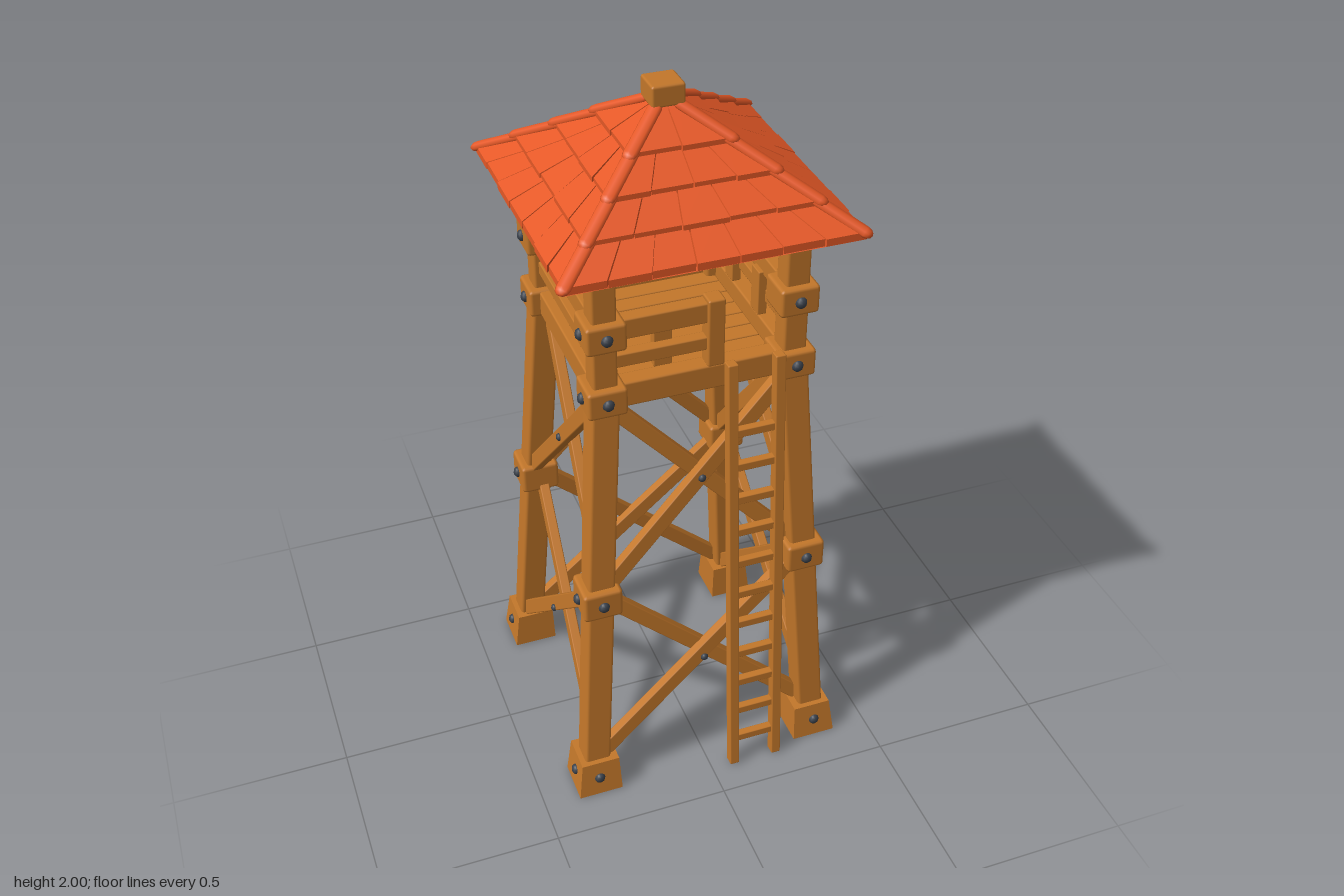
import * as THREE from 'three';
import { RoundedBoxGeometry } from 'three/addons/geometries/RoundedBoxGeometry.js';

function paint(name, color) {
  const material = new THREE.MeshStandardMaterial({ color });
  material.name = name;
  return material;
}
const wood = paint('wood', 0xc3772a);
const tile = paint('roof tile', 0xe55826);
const iron = paint('dark iron', 0x3b424c);
const darkWood = paint('dark ceiling wood', 0x74502c);

const V = (x, y, z) => new THREE.Vector3(x, y, z);
// distance of a leg's centre line from the tower axis at height y
const legAt = (y) => 0.335 - 0.064 * (y - 0.05);
// height of the roof surface at distance d from the axis
const roofAt = (d) => 1.7 + (0.39 - d) * 0.708;

function add(parent, name, geometry, material) {
  const mesh = new THREE.Mesh(geometry, material);
  mesh.name = name;
  parent.add(mesh);
  return mesh;
}

function block(parent, name, w, h, d, x, y, z, material = wood) {
  const bevel = Math.min(w, h, d) * 0.12;
  const mesh = add(parent, name, new RoundedBoxGeometry(w, h, d, 1, bevel), material);
  mesh.position.set(x, y, z);
  return mesh;
}

// turn a mesh so its y axis runs along dir and its x axis lies across hint
function align(mesh, dir, hint) {
  const x = dir.clone().cross(hint).normalize();
  mesh.quaternion.setFromRotationMatrix(new THREE.Matrix4().makeBasis(x, dir, x.clone().cross(dir)));
}

// square timber from a to b, its depth kept close to the z axis
function timber(parent, name, a, b, w, d) {
  const dir = b.clone().sub(a);
  const mid = a.clone().add(b).multiplyScalar(0.5);
  const mesh = block(parent, name, w, dir.length(), d, mid.x, mid.y, mid.z);
  align(mesh, dir.normalize(), V(0, 0, 1));
}

const boltShape = new THREE.SphereGeometry(0.016, 8, 6);
function bolt(parent, x, y, z, size = 1) {
  const mesh = add(parent, 'bolt', boltShape, iron);
  mesh.position.set(x, y, z);
  mesh.scale.set(size, size, size * 0.8);
}

// box whose corners are moved by a rule taking and returning a vector
function shapedBox(rule) {
  const g = new THREE.BoxGeometry(1, 1, 1);
  const p = g.attributes.position;
  for (let i = 0; i < p.count; i++) {
    const v = rule(V(p.getX(i), p.getY(i), p.getZ(i)));
    p.setXYZ(i, v.x, v.y, v.z);
  }
  g.computeVertexNormals();
  return g;
}

// corner column: foot, leaning leg, upright post and collars
function buildCorner(parent, sx, sz) {
  const corner = new THREE.Group();
  corner.name = 'cornerColumn';
  parent.add(corner);
  add(corner, 'foot', shapedBox((v) => {
    const half = v.y < 0 ? 0.064 : 0.055;
    const c = v.y < 0 ? 0.334 : 0.329;
    return V(sx * c + Math.sign(v.x) * half, (v.y + 0.5) * 0.11, sz * c + Math.sign(v.z) * half);
  }), wood);
  const a = legAt(0.05), b = legAt(1.28);
  timber(corner, 'leg', V(sx * a, 0.05, sz * a), V(sx * b, 1.28, sz * b), 0.076, 0.076);
  block(corner, 'post', 0.066, 0.49, 0.066, sx * 0.255, 1.49, sz * 0.255);
  const m = legAt(0.67);
  block(corner, 'middleCollar', 0.11, 0.09, 0.11, sx * m, 0.671, sz * m);
  block(corner, 'floorCollar', 0.106, 0.08, 0.106, sx * 0.255, 1.297, sz * 0.255);
  block(corner, 'railCollar', 0.106, 0.08, 0.106, sx * 0.255, 1.488, sz * 0.255);
}

// one side of the frame, facing +z
function buildSide(parent, isFront) {
  for (const [low, high, cross] of [[0.12, 0.645, 0.38], [0.71, 1.25, 0.995]]) {
    for (const s of [-1, 1]) {
      const off = s * 0.012;
      timber(parent, 'crossBrace',
        V(-s * (legAt(low) - 0.025), low, legAt(low) + off),
        V(s * (legAt(high) - 0.025), high, legAt(high) + off), 0.045, 0.028);
    }
    bolt(parent, 0, cross, legAt(cross) + 0.027, 0.7);
  }
  for (const s of [-1, 1]) {
    bolt(parent, s * 0.335, 0.056, 0.39);
    bolt(parent, s * legAt(0.67), 0.671, legAt(0.67) + 0.056);
    bolt(parent, s * 0.255, 1.297, 0.308);
    bolt(parent, s * 0.255, 1.488, 0.308);
  }
  block(parent, 'floorBeam', 0.5, 0.072, 0.05, 0, 1.297, 0.255);
  block(parent, 'floorJoist', 0.46, 0.03, 0.04, 0, 1.254, 0.21);
  // the front rails stop at a gate post beside the ladder
  const end = isFront ? 0.05 : 0.25;
  block(parent, 'topRail', end + 0.25, 0.058, 0.04, (end - 0.25) / 2, 1.488, 0.255);
  block(parent, 'lowerRail', end + 0.25, 0.038, 0.032, (end - 0.25) / 2, 1.398, 0.258);
  block(parent, 'baluster', 0.05, 0.13, 0.026, -0.09, 1.407, 0.235);
  if (isFront) block(parent, 'gatePost', 0.046, 0.195, 0.05, 0.04, 1.43, 0.26);
  else block(parent, 'baluster', 0.05, 0.13, 0.026, 0.09, 1.407, 0.235);
}

// one roof slope facing +z, with the hip on its +x edge
function buildSlope(parent, seed) {
  [7, 5, 4, 2].forEach((count, row) => {
    const d0 = 0.384 - 0.083 * row;
    const d1 = Math.max(d0 - 0.105, 0.035);
    for (let i = 0; i < count; i++) {
      const jitter = 0.002 * Math.sin(seed * 5.1 + row * 3.7 + i * 2.3);
      add(parent, 'roofTile', shapedBox((v) => {
        const low = v.z > 0;
        const d = low ? d0 : d1;
        const x = (-1 + (2 * (i + 0.5 + v.x)) / count) * d - Math.sign(v.x) * 0.0015;
        const y = roofAt(d) + (low ? 0.003 : -0.013) - (v.y < 0 ? 0.02 : 0);
        return V(x, y, low ? d + jitter : d);
      }), tile);
    }
    // flattened hip cover over the joint between two slopes
    const a = V(d0 - 0.004, roofAt(d0), d0 - 0.004);
    const b = V(d1, roofAt(d1) - 0.012, d1);
    const dir = b.clone().sub(a);
    const hip = add(parent, 'hipCover', new THREE.CapsuleGeometry(0.02, dir.length(), 3, 8), tile);
    hip.position.copy(a).add(b).multiplyScalar(0.5);
    align(hip, dir.normalize(), V(0, 1, 0));
    hip.scale.z = 0.6;
  });
}

function buildLadder(parent) {
  const ladder = new THREE.Group();
  ladder.name = 'ladder';
  parent.add(ladder);
  const zAt = (y) => 0.401 - 0.073 * y;
  for (const x of [0.068, 0.198]) {
    timber(ladder, 'ladderRail', V(x, 0.002, zAt(0)), V(x, 1.355, zAt(1.355)), 0.028, 0.032);
  }
  for (let i = 0; i < 11; i++) {
    const y = 0.095 + i * 0.105;
    block(ladder, 'rung', 0.12, 0.024, 0.022, 0.133, y, zAt(y));
  }
}

export function createModel() {
  const model = new THREE.Group();
  model.name = 'watchtower';
  const tower = new THREE.Group();
  tower.name = 'tower';
  tower.position.z = -0.013;
  model.add(tower);

  for (const sx of [-1, 1]) for (const sz of [-1, 1]) buildCorner(tower, sx, sz);

  for (let k = 0; k < 4; k++) {
    const side = new THREE.Group();
    side.name = 'frameSide';
    side.rotation.y = (k * Math.PI) / 2;
    tower.add(side);
    buildSide(side, k === 0);
    const slope = new THREE.Group();
    slope.name = 'roofSlope';
    slope.rotation.y = side.rotation.y;
    tower.add(slope);
    buildSlope(slope, k);
  }

  // floor planks
  for (let i = 0; i < 8; i++) {
    block(tower, 'floorPlank', 0.46, 0.03, 0.055, 0, 1.268, -0.203 + i * 0.058);
  }

  // solid core under the tiles, ceiling below it and cap on the peak
  const coreHeight = 0.378 * 0.708;
  add(tower, 'roofCore', shapedBox((v) => {
    const half = v.y < 0 ? 0.378 : 0.002;
    return V(Math.sign(v.x) * half, 1.682 + (v.y + 0.5) * coreHeight, Math.sign(v.z) * half);
  }), tile);
  block(tower, 'ceiling', 0.57, 0.008, 0.57, 0, 1.68, 0, darkWood);
  block(tower, 'roofCap', 0.088, 0.058, 0.088, 0, 1.971, 0);

  buildLadder(model);
  return model;
}
